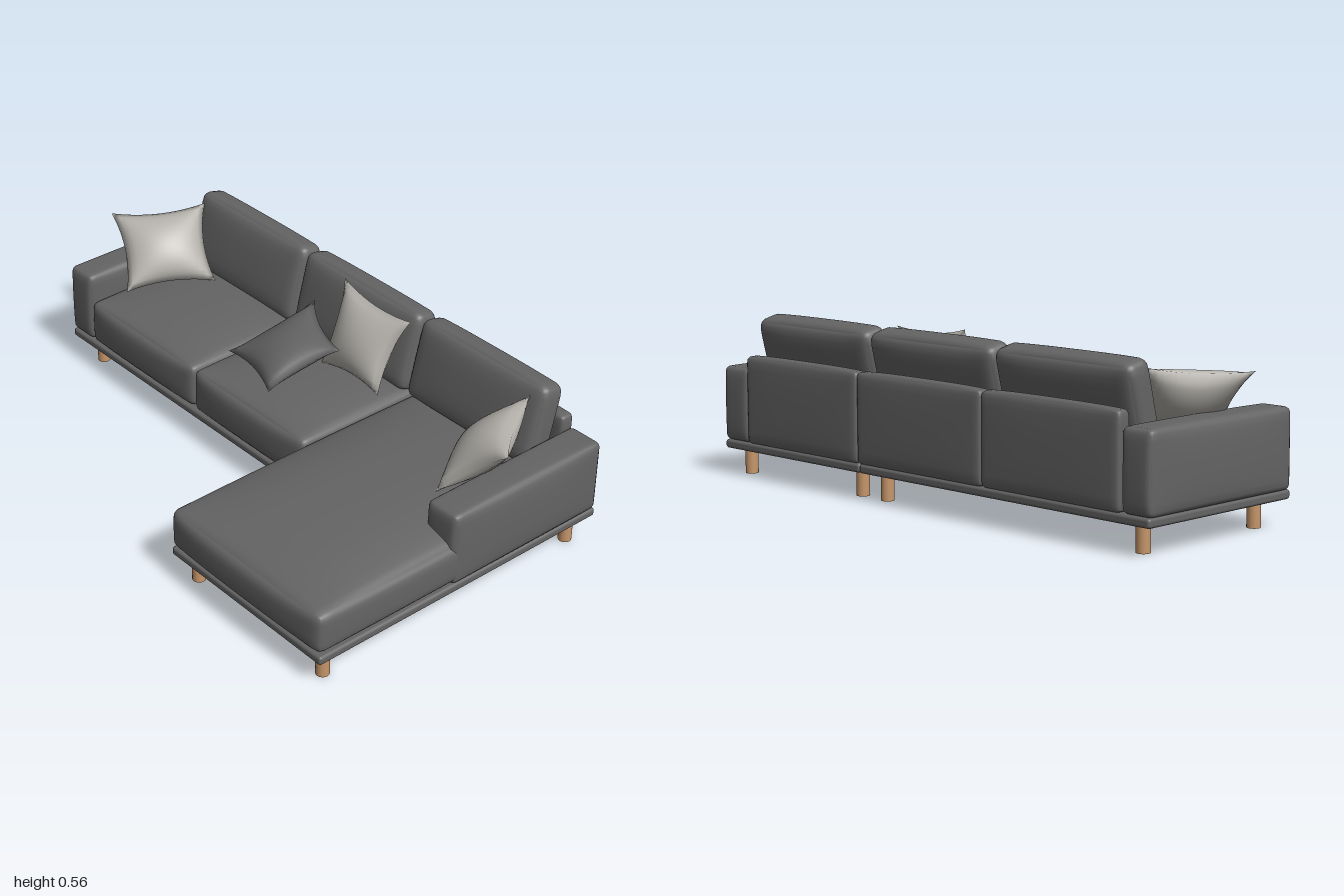
import * as THREE from 'three';
import { mergeVertices } from 'three/addons/utils/BufferGeometryUtils.js';
import { RoundedBoxGeometry } from 'three/addons/geometries/RoundedBoxGeometry.js';

const mat = (name, color) => {
  const m = new THREE.MeshStandardMaterial({ color });
  m.name = name;
  return m;
};

// Weld the vertices of a reshaped box and give it smooth normals
function smooth(geo) {
  geo.deleteAttribute('uv');
  geo.deleteAttribute('normal');
  const g = mergeVertices(geo, 1e-5);
  g.computeVertexNormals();
  return g;
}

// Soft block: rounded edges, faces swelling outward by puff (x, up, z)
function cushionGeometry(size, r, puff) {
  const geo = new THREE.BoxGeometry(2, 2, 2, 20, 12, 20);
  const pos = geo.attributes.position;
  const half = new THREE.Vector3(...size).multiplyScalar(0.5);
  const core = half.clone().subScalar(r);
  const p = new THREE.Vector3(), inner = new THREE.Vector3();
  for (let i = 0; i < pos.count; i++) {
    p.fromBufferAttribute(pos, i);
    const s = p.toArray().map((t) => Math.sin((t * Math.PI) / 2));
    p.set(...s).multiply(half);
    inner.copy(p).clamp(core.clone().negate(), core);
    p.sub(inner).normalize().multiplyScalar(r).add(inner);
    const [fx, fy, fz] = s.map((t) => 1 - Math.abs(t) ** 3);
    p.x += s[0] * puff[0] * fy * fz;
    p.y += Math.max(s[1], 0) * puff[1] * fx * fz;
    p.z += s[2] * puff[2] * fx * fy;
    pos.setXYZ(i, p.x, p.y, p.z);
  }
  return smooth(geo);
}

// Throw pillow stretched between four corners, pinched sides, plump middle
function pillowGeometry(corners, plump) {
  const [a, b, c, d] = corners.map((q) => new THREE.Vector3(...q));
  const n = b.clone().sub(a).cross(a.clone().sub(d)).normalize();
  const geo = new THREE.BoxGeometry(2, 2, 2, 16, 16, 1);
  const pos = geo.attributes.position;
  for (let i = 0; i < pos.count; i++) {
    const x = pos.getX(i), y = pos.getY(i), side = Math.sign(pos.getZ(i));
    const ex = Math.max(0, 1 - x * x), ey = Math.max(0, 1 - y * y);
    const u = (x * (1 - 0.14 * ey) + 1) / 2;
    const v = (y * (1 - 0.14 * ex) + 1) / 2;
    const top = a.clone().lerp(b, u);
    const p = d.clone().lerp(c, u).lerp(top, v);
    p.addScaledVector(n, side * plump * Math.pow(ex * ey, 0.6));
    pos.setXYZ(i, p.x, p.y, p.z);
  }
  return smooth(geo);
}

export function createModel() {
  const group = new THREE.Group();
  group.name = 'cornerSofa';
  const fabric = mat('darkGreyFabric', 0x646464);
  const pale = mat('paleGreyFabric', 0xb3b0aa);
  const wood = mat('lightWood', 0xc6966a);

  const add = (name, geo, material, x = 0, y = 0, z = 0) => {
    const m = new THREE.Mesh(geo, material);
    m.name = name;
    m.position.set(x, y, z);
    group.add(m);
    return m;
  };
  // Soft block given by its min and max on each axis
  const block = (name, [x0, x1], [y0, y1], [z0, z1], r, puff) =>
    add(name, cushionGeometry([x1 - x0, y1 - y0, z1 - z0], r, puff), fabric,
      (x0 + x1) / 2, (y0 + y1) / 2, (z0 + z1) / 2);

  // Base slabs
  add('sofaBase', new RoundedBoxGeometry(1.25, 0.03, 0.635, 3, 0.01), fabric, -0.345, 0.104, -0.268);
  add('chaiseBase', new RoundedBoxGeometry(0.7, 0.03, 1.16, 3, 0.01), fabric, 0.63, 0.104, -0.005);

  // Legs
  const legGeo = new THREE.CylinderGeometry(0.022, 0.022, 0.092, 20);
  const legs = [[-0.885, -0.02], [0.22, -0.02], [0.34, 0.515], [0.925, 0.515]];
  for (const [x, z] of legs) {
    add('frontLeg', legGeo, wood, x, 0.046, z);
    add('backLeg', legGeo, wood, x, 0.046, -0.515);
  }

  // Arms
  block('rightArm', [-0.977, -0.858], [0.118, 0.372], [-0.585, 0.045], 0.02, [0.01, 0.004, 0.006]);
  block('leftArm', [0.852, 0.982], [0.118, 0.372], [-0.585, 0.045], 0.02, [0.01, 0.004, 0.006]);

  // Back panels and leaning back cushions
  for (const [x0, x1] of [[-0.855, -0.285], [-0.285, 0.288], [0.288, 0.855]]) {
    block('backPanel', [x0, x1], [0.118, 0.415], [-0.59, -0.535], 0.018, [0, 0.005, 0.005]);
    const back = block('backCushion', [x0 + 0.004, x1 - 0.004], [0.27, 0.55], [-0.515, -0.415], 0.032, [0.003, 0.005, 0.015]);
    back.rotation.x = -0.24;
  }

  // Seat cushions and the long chaise cushion
  block('rightSeat', [-0.86, -0.285], [0.118, 0.277], [-0.54, 0.045], 0.025, [0.004, 0.028, 0.015]);
  block('middleSeat', [-0.28, 0.285], [0.118, 0.277], [-0.54, 0.045], 0.025, [0.004, 0.028, 0.015]);
  block('chaiseCushion', [0.275, 0.975], [0.118, 0.262], [-0.54, 0.575], 0.03, [0.008, 0.045, 0.015]);

  // Throw pillows: top two corners, then bottom two
  const pillows = [
    ['rightPillow', pale, 0.065, [[-0.82, 0.52, -0.44], [-1, 0.5, -0.16], [-0.8, 0.3, -0.07], [-0.65, 0.31, -0.35]]],
    ['leftPillow', pale, 0.065, [[0.8, 0.52, -0.44], [0.98, 0.5, -0.16], [0.77, 0.3, -0.07], [0.62, 0.31, -0.35]]],
    ['middlePillow', pale, 0.06, [[-0.045, 0.565, -0.42], [0.285, 0.55, -0.41], [0.27, 0.31, -0.29], [-0.01, 0.3, -0.29]]],
    ['darkPillow', fabric, 0.05, [[-0.14, 0.455, -0.37], [0.125, 0.43, -0.25], [0.025, 0.31, -0.03], [-0.255, 0.31, -0.09]]],
  ];
  for (const [name, material, plump, corners] of pillows) add(name, pillowGeometry(corners, plump), material);

  return group;
}
